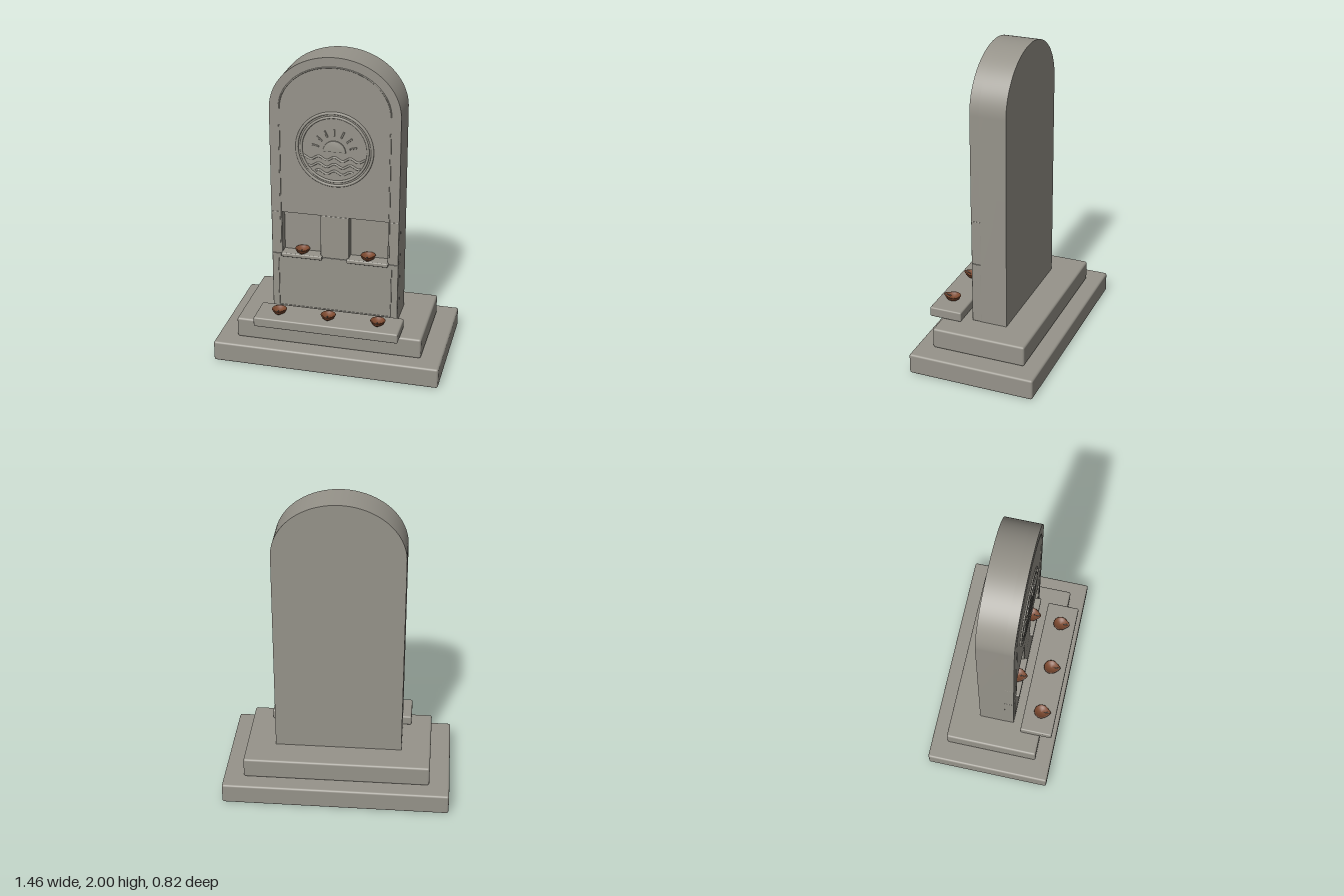
import * as THREE from 'three';
import { toCreasedNormals } from 'three/addons/utils/BufferGeometryUtils.js';
import { RoundedBoxGeometry } from 'three/addons/geometries/RoundedBoxGeometry.js';

const stone = new THREE.MeshStandardMaterial({ name: 'grey stone', color: 0x96938a });
const clay = new THREE.MeshStandardMaterial({ name: 'fired clay', color: 0x7d4a30 });
const wickGrey = new THREE.MeshStandardMaterial({ name: 'wick grey', color: 0x8c8076 });

function add(parent, name, geometry, material = stone) {
  const mesh = new THREE.Mesh(geometry, material);
  mesh.name = name;
  parent.add(mesh);
  return mesh;
}

// Block given by its limits on each axis, with softened edges
function block(parent, name, [x0, x1], [y0, y1], [z0, z1], radius = 0.004) {
  const geo = new RoundedBoxGeometry(x1 - x0, y1 - y0, z1 - z0, 3, radius);
  geo.translate((x0 + x1) / 2, (y0 + y1) / 2, (z0 + z1) / 2);
  return add(parent, name, geo);
}

// Slab with an elliptical top
function archSlab(bottom, z0, z1) {
  const s = new THREE.Shape();
  s.moveTo(-0.41, bottom);
  s.lineTo(0.41, bottom);
  s.lineTo(0.41, 1.65);
  s.absellipse(0, 1.65, 0.41, 0.35, 0, Math.PI, false, 0);
  s.lineTo(-0.41, bottom);
  const geo = new THREE.ExtrudeGeometry(s, { depth: z1 - z0, bevelEnabled: false, curveSegments: 48 });
  geo.translate(0, 0, z0);
  return toCreasedNormals(geo, 0.5);
}

function tube(points, radius, segments) {
  return new THREE.TubeGeometry(new THREE.CatmullRomCurve3(points), segments, radius, 8);
}

// Small oil lamp: a lathed bowl with its front pulled into a spout
function lampGeometry() {
  const profile = [[0, 0], [0.024, 0], [0.039, 0.011], [0.048, 0.028], [0.046, 0.031],
    [0.039, 0.03], [0.03, 0.017], [0, 0.013]].map(([r, y]) => new THREE.Vector2(r, y));
  const geo = new THREE.LatheGeometry(profile, 40);
  const p = geo.attributes.position;
  for (let i = 0; i < p.count; i++) {
    const r = Math.hypot(p.getX(i), p.getZ(i));
    if (r < 0.001 || p.getZ(i) <= 0) continue;
    const pull = Math.pow(p.getZ(i) / r, 8) * r / 0.048;
    p.setZ(i, p.getZ(i) + 0.016 * pull);
    if (p.getY(i) > 0.005) p.setY(i, p.getY(i) + 0.005 * pull);
  }
  geo.computeVertexNormals();
  return geo;
}

export function createModel() {
  const model = new THREE.Group();
  model.name = 'memorialShrine';

  // Stepped plinth
  block(model, 'basePlinth', [-0.73, 0.73], [0, 0.135], [-0.41, 0.41], 0.014);
  block(model, 'upperPlinth', [-0.6, 0.6], [0.135, 0.27], [-0.305, 0.305], 0.014);
  block(model, 'offeringLedge', [-0.465, 0.465], [0.27, 0.335], [0.172, 0.385], 0.01);

  // Arched stone: full back, upper front
  add(model, 'backSlab', archSlab(0.27, -0.115, 0.055));
  add(model, 'upperFrontSlab', archSlab(0.965, 0.055, 0.115));

  // Lower front, leaving two niches
  block(model, 'lowerPanel', [-0.41, 0.41], [0.27, 0.672], [0.053, 0.115]);
  block(model, 'nichePillar', [-0.092, 0.092], [0.672, 0.965], [0.053, 0.115]);
  for (const s of [-1, 1]) {
    const range = (a, b) => (s > 0 ? [a, b] : [-b, -a]);
    block(model, 'sidePillar', range(0.34, 0.41), [0.672, 0.965], [0.053, 0.115]);
    block(model, 'nicheShelf', range(0.08, 0.347), [0.66, 0.687], [0.055, 0.138], 0.007);
    block(model, 'sideBorder', range(0.344, 0.352), [0.72, 1.55], [0.108, 0.12], 0.002);
    block(model, 'panelBorder', range(0.364, 0.37), [0.3, 0.64], [0.11, 0.118], 0.002);
  }
  block(model, 'panelBorder', [-0.37, 0.37], [0.298, 0.304], [0.11, 0.118], 0.002);

  // Raised line following the arch
  const arch = [];
  for (let i = 0; i <= 32; i++) {
    const a = Math.PI * i / 32;
    arch.push(new THREE.Vector3(0.348 * Math.cos(a), 1.655 + 0.283 * Math.sin(a), 0.114));
  }
  add(model, 'archBorder', tube(arch, 0.005, 80));

  // Round relief: rings, half sun, rays and waves
  const relief = new THREE.Group();
  relief.name = 'sunRelief';
  relief.position.set(0, 1.415, 0.115);
  model.add(relief);
  for (const [r, t] of [[0.237, 0.009], [0.21, 0.008]]) {
    add(relief, 'reliefRing', new THREE.TorusGeometry(r, t, 10, 80));
  }
  const sun = new THREE.Shape();
  sun.absarc(0, 0, 0.068, 0, Math.PI, false);
  sun.closePath();
  const sunGeo = new THREE.ExtrudeGeometry(sun, {
    depth: 0.005, bevelSize: 0.003, bevelThickness: 0.003, bevelSegments: 2, curveSegments: 32,
  });
  add(relief, 'halfSun', toCreasedNormals(sunGeo, 0.6)).position.y = -0.012;
  for (let i = 0; i < 7; i++) {
    const a = THREE.MathUtils.degToRad(15 + 25 * i);
    const ray = add(relief, 'sunRay', new RoundedBoxGeometry(0.045, 0.01, 0.016, 2, 0.003));
    ray.position.set(0.123 * Math.cos(a), 0.123 * Math.sin(a) - 0.012, 0);
    ray.rotation.z = a;
  }
  [[0.195, -0.06], [0.165, -0.105], [0.118, -0.15]].forEach(([half, y]) => {
    const pts = [];
    for (let i = 0; i <= 40; i++) {
      const x = -half + 2 * half * i / 40;
      pts.push(new THREE.Vector3(x, y + 0.011 * Math.cos(x * Math.PI * 2 / 0.1), 0.001));
    }
    add(relief, 'wave', tube(pts, 0.007, 100));
  });

  // Clay lamps on the ledge and in the niches
  const bowl = lampGeometry();
  const wick = new THREE.CylinderGeometry(0.003, 0.003, 0.04, 8).rotateX(Math.PI / 2 - 0.3);
  const places = [[-0.32, 0.335, 0.285], [0, 0.335, 0.285], [0.32, 0.335, 0.285],
    [-0.213, 0.687, 0.098], [0.213, 0.687, 0.098]];
  for (const place of places) {
    const lamp = new THREE.Group();
    lamp.name = 'oilLamp';
    lamp.position.set(...place);
    add(lamp, 'lampBowl', bowl, clay);
    add(lamp, 'lampWick', wick, wickGrey).position.set(0, 0.029, 0.036);
    model.add(lamp);
  }
  return model;
}
